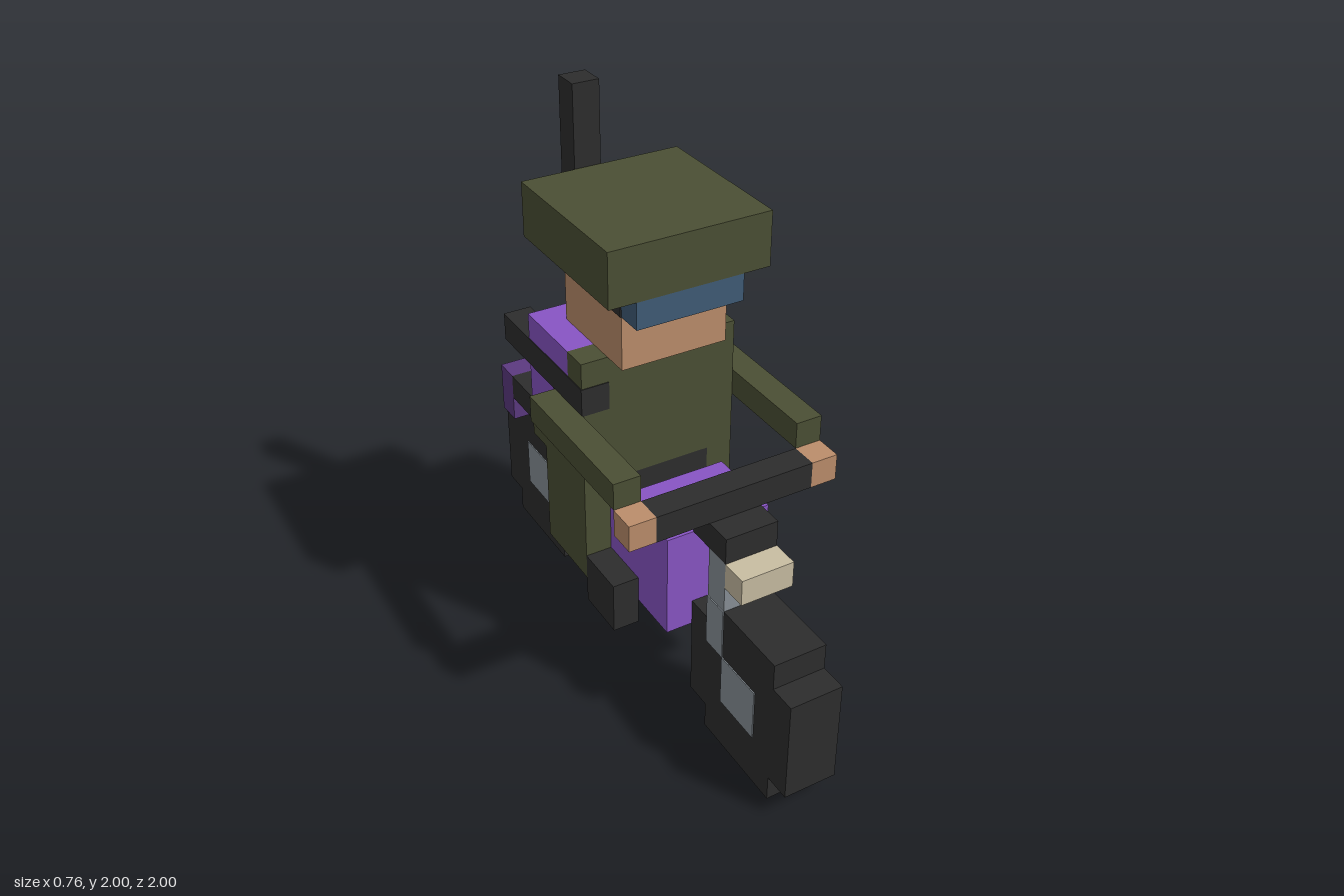
import * as THREE from 'three';

const U = 2 / 21; // one block

function mat(name, color) {
  const m = new THREE.MeshStandardMaterial({ color });
  m.name = name;
  return m;
}

export function createModel() {
  const model = new THREE.Group();
  model.name = 'motorcycleRider';

  const olive = mat('olive', 0x4b4f34);
  const skin = mat('skin', 0xbb8d6b);
  const purple = mat('purple', 0x8855c4);
  const plum = mat('plum', 0x5c3a80);
  const steel = mat('steel', 0x889097);
  const black = mat('black', 0x2d2d2d);
  const blue = mat('goggleBlue', 0x405c76);
  const cream = mat('cream', 0xc8bda2);

  // Box between block coordinates: x0..x1, y0..y1, z0..z1, grown by e blocks
  function box(name, material, [x0, x1], [y0, y1], [z0, z1], parent = model, e = 0) {
    const geo = new THREE.BoxGeometry((x1 - x0 + e) * U, (y1 - y0 + e) * U, (z1 - z0 + e) * U);
    const mesh = new THREE.Mesh(geo, material);
    mesh.position.set((x0 + x1) / 2 * U, (y0 + y1) / 2 * U, (z0 + z1) / 2 * U);
    mesh.name = name;
    parent.add(mesh);
    return mesh;
  }

  // Same box on both sides of x = 0
  function pair(name, material, [x0, x1], y, z, parent) {
    box(name + 'Left', material, [x0, x1], y, z, parent);
    box(name + 'Right', material, [-x1, -x0], y, z, parent);
  }

  // Wheels: stepped tyre with thin hub plates
  for (const [name, z] of [['frontWheel', 7.5], ['rearWheel', -7.5]]) {
    const wheel = new THREE.Group();
    wheel.name = name;
    model.add(wheel);
    box('tyreCentre', black, [-1, 1], [0, 6], [z - 2, z + 2], wheel);
    box('tyreFront', black, [-1, 1], [1, 5], [z + 2, z + 3], wheel);
    box('tyreBack', black, [-1, 1], [1, 5], [z - 3, z - 2], wheel);
    pair('hub', steel, [1, 1.04], [2, 4], [z - 1, z + 1], wheel);
  }

  // Motorcycle
  const bike = new THREE.Group();
  bike.name = 'motorcycle';
  model.add(bike);
  box('fork', steel, [-1, 1], [6, 8], [5.5, 6.5], bike);
  pair('forkLeg', steel, [1, 1.04], [4, 6], [5.5, 6.5], bike);
  box('headlight', cream, [-1, 1], [7, 8], [6.5, 7.5], bike);
  box('stem', black, [-1, 1], [8, 9], [4.5, 6.5], bike);
  box('handlebar', black, [-3, 3], [9, 10], [4.5, 5.5], bike);
  box('tank', purple, [-2, 2], [4, 8], [1.5, 4.5], bike);
  box('tankRear', purple, [-2, 2], [4, 7], [0.5, 1.5], bike);
  box('frame', purple, [-2, 2], [5, 7], [-4.5, 0.5], bike);
  box('engine', black, [-1, 1], [3, 5], [-3.5, 0.5], bike);
  box('seat', black, [-2, 2], [7, 8], [-7.5, 0.5], bike);
  box('rearFender', plum, [-2, 2], [6, 8], [-8.5, -7.5], bike);
  box('exhaust', steel, [2, 3], [3, 5], [-7.5, -3.5], bike);

  // Rider
  const rider = new THREE.Group();
  rider.name = 'rider';
  model.add(rider);
  box('hips', olive, [-3, 3], [8, 9], [-3.5, 0.5], rider);
  pair('leg', olive, [2, 3], [4, 8], [-2.5, 0.5], rider);
  pair('boot', black, [2, 3], [3, 5], [0.5, 2.5], rider);
  box('chest', olive, [-3, 3], [9, 13], [-0.5, 0.5], rider);
  box('backpack', purple, [-3, 3], [9, 13], [-3.5, -0.5], rider);
  pair('arm', olive, [3, 4], [10, 11], [-1.5, 4.5], rider);
  pair('hand', skin, [3, 4], [9, 10], [4.5, 5.5], rider);

  // Head, goggles and cap
  box('head', skin, [-2, 2], [13, 16], [-2.5, 1.5], rider);
  box('goggles', blue, [-2, 2], [15, 16], [1.5, 2.5], rider);
  pair('goggleStrap', black, [2, 2.04], [15, 16], [0.5, 1.5], rider);
  box('cap', olive, [-3, 3], [16, 18], [-3.5, 2.5], rider);

  // Gear on the back
  box('antenna', black, [-1, 0], [13, 21], [-4.5, -3.5], rider);
  box('sideBar', black, [-3, -2], [11, 12], [-5.5, 0.5], rider, 0.06);

  return model;
}
